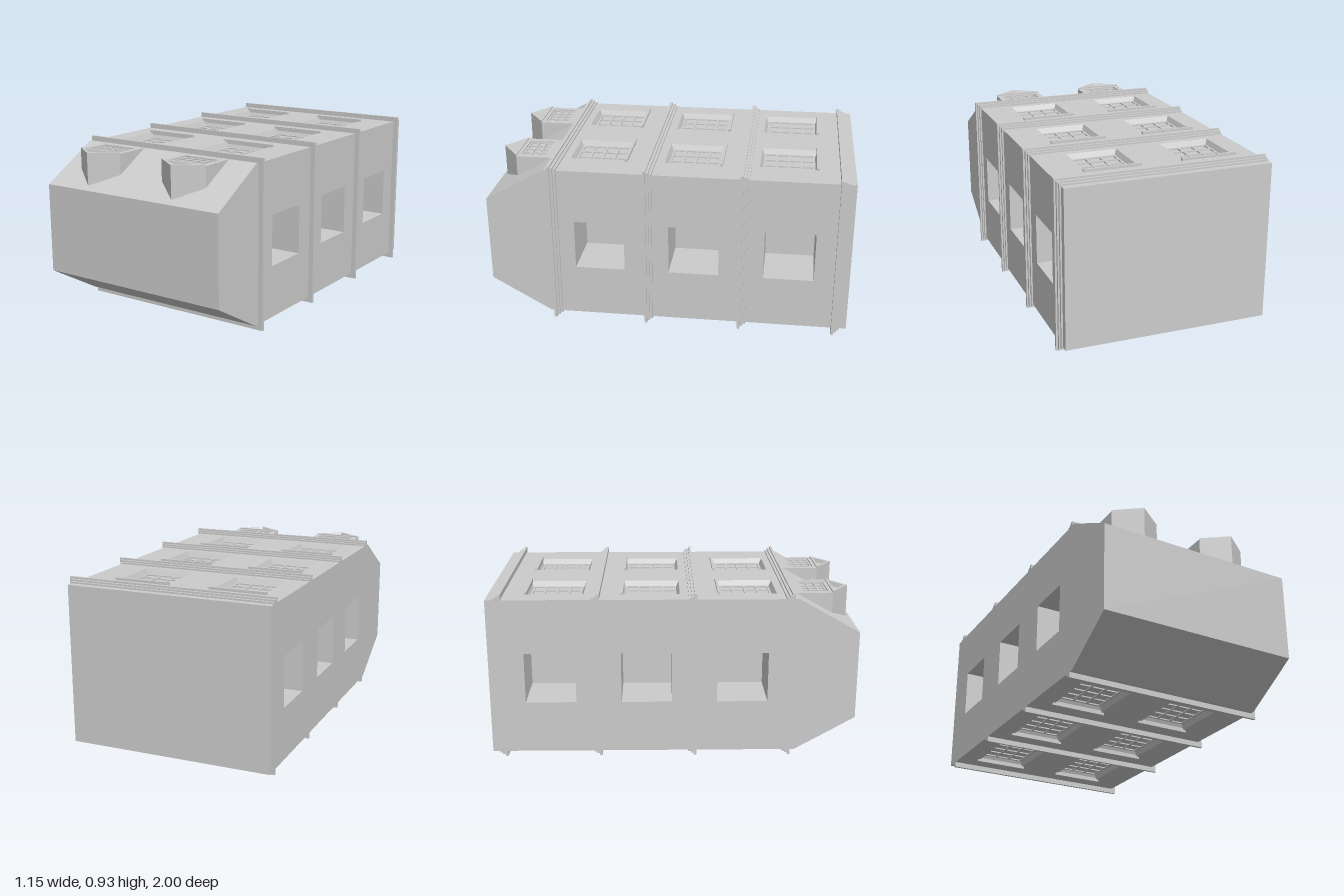
import * as THREE from 'three';

const mat = new THREE.MeshStandardMaterial({ color: 0xcccccc, flatShading: true });
const thin = new THREE.MeshStandardMaterial({ color: 0xcccccc, flatShading: true, side: THREE.DoubleSide });

// Body limits
const X0 = -0.578, X1 = 0.549, Y0 = 0.03, Y1 = 0.897, ZB = -1, ZR = 0.67;
const SKIN = 0.035, RECESS = 0.3;
const FLOORS = [-0.8, -0.28, 0.245];        // lower z edge of each window row
const WIN_W = 0.285, WIN_H = 0.315;

function add(parent, name, geo, material = mat) {
  const m = new THREE.Mesh(geo, material);
  m.name = name;
  parent.add(m);
  return m;
}

// Box from its minimum and maximum corners
function box(parent, name, x0, x1, y0, y1, z0, z1) {
  const g = new THREE.BoxGeometry(x1 - x0, y1 - y0, z1 - z0);
  g.translate((x0 + x1) / 2, (y0 + y1) / 2, (z0 + z1) / 2);
  return add(parent, name, g);
}

const poly = pts => pts.map(([a, b]) => new THREE.Vector2(a, b));
const rect = (a0, a1, b0, b1) => [[a0, b0], [a1, b0], [a1, b1], [a0, b1]];

function extrude(outline, holes, depth) {
  const s = new THREE.Shape(poly(outline));
  holes.forEach(h => s.holes.push(new THREE.Path(poly(h))));
  return new THREE.ExtrudeGeometry(s, { depth, bevelEnabled: false });
}

// Plan outline in (x, z), raised along y; reversing keeps the corner order after the flip
function slabY(outline, holes, y0, y1) {
  const flip = pts => pts.map(([x, z]) => [x, -z]).reverse();
  return extrude(flip(outline), holes.map(flip), y1 - y0).rotateX(-Math.PI / 2).translate(0, y0, 0);
}

// Side outline in (z, y), drawn out along x
function slabX(outline, holes, x0, x1) {
  const flip = pts => pts.map(([z, y]) => [-z, y]).reverse();
  return extrude(flip(outline), holes.map(flip), x1 - x0).rotateY(Math.PI / 2).translate(x0, 0, 0);
}

// Glazing bars lying on a pane at height y
function glazing(parent, x0, x1, z0, z1, y, cols, rows, t) {
  const h = y + 0.007;
  for (let i = 0; i <= cols; i++) {
    const x = x0 + t / 2 + (x1 - x0 - t) * i / cols;
    box(parent, 'glazingBar', x - t / 2, x + t / 2, y, h, z0, z1);
  }
  for (let j = 0; j <= rows; j++) {
    const z = z0 + t / 2 + (z1 - z0 - t) * j / rows;
    box(parent, 'glazingBar', x0, x1, y, h, z - t / 2, z + t / 2);
  }
}

// Window with splayed reveal, glazing bars and sill; y = 0 is the wall face
function createWindow(x, z) {
  const g = new THREE.Group();
  g.name = 'window';
  const r = Math.SQRT2;
  const splay = new THREE.LatheGeometry(poly([[r * 0.9, -SKIN], [r, 0]]), 4);
  splay.rotateY(Math.PI / 4).scale(WIN_W / 2, 1, WIN_H / 2);
  add(g, 'windowReveal', splay, thin);
  glazing(g, -WIN_W * 0.45, WIN_W * 0.45, -WIN_H * 0.45, WIN_H * 0.45, -SKIN, 3, 4, 0.012);
  box(g, 'windowSill', -0.157, 0.157, -0.01, 0.014, -WIN_H / 2 - 0.006, -WIN_H / 2 + 0.009);
  g.position.set(x, 0, z);
  return g;
}

// Wall skin with six windows; dir = -1 gives the opposite facade
function createFacade(dir) {
  const g = new THREE.Group();
  g.name = dir > 0 ? 'upperFacade' : 'lowerFacade';
  const holes = [];
  for (const x of [-0.319 * dir, 0.221 * dir]) for (const z of FLOORS) {
    holes.push(rect(x - WIN_W / 2, x + WIN_W / 2, z, z + WIN_H));
    g.add(createWindow(x, z + WIN_H / 2));
  }
  const [a, b] = dir > 0 ? [X0, X1] : [-X1, -X0];
  add(g, 'facadeWall', slabY(rect(a, b, ZB, ZR), holes, -SKIN, 0));
  g.position.y = dir > 0 ? Y1 : Y0;
  if (dir < 0) g.rotation.z = Math.PI;
  return g;
}

// Dormer with a pointed gable, a window and a sunken pediment
function createDormer(x) {
  const g = new THREE.Group();
  g.name = 'dormer';
  const w = 0.14;
  const outline = [[-w, 0.66], [w, 0.66], [w, 0.865], [0, 0.968], [-w, 0.865]];
  const gable = [[-w, 0.865], [w, 0.865], [0, 0.968]];
  const pediment = [[-0.097, 0.878], [0.097, 0.878], [0, 0.949]];
  add(g, 'dormerBlock', slabY(outline, [], 0.715, 0.885));
  add(g, 'dormerFace', slabY(outline, [rect(-0.105, 0.105, 0.705, 0.845), pediment], 0.885, 0.899));
  add(g, 'dormerGable', slabY(gable, [pediment], 0.899, 0.906));
  // Sloping sides of the pediment, a three-sided ring fitted to its triangle
  const slope = new THREE.LatheGeometry(poly([[0.75, 0.885], [1, 0.906]]), 3);
  slope.scale(0.112, 1, 0.0473).translate(0, 0, 0.9017);
  add(g, 'pedimentSlope', slope, thin);
  glazing(g, -0.105, 0.105, 0.705, 0.845, 0.885, 4, 3, 0.01);
  g.position.x = x;
  return g;
}

export function createModel() {
  const model = new THREE.Group();
  model.name = 'building';

  // Core and the two side walls with deep square openings
  const yA = Y0 + SKIN, yB = Y1 - SKIN;
  box(model, 'core', X0 + RECESS, X1 - RECESS, yA, yB, ZB, ZR);
  const openings = [-0.807, -0.284, 0.238].map(z => rect(z, z + 0.276, 0.318, 0.597));
  const wall = rect(ZB, ZR, yA, yB);
  add(model, 'rightWall', slabX(wall, openings, X0, X0 + RECESS));
  add(model, 'leftWall', slabX(wall, openings, X1 - RECESS, X1));

  // Facades
  model.add(createFacade(1), createFacade(-1));

  // Tapered roof
  add(model, 'roof', slabX([[ZR, Y0], [1, 0.22], [1, 0.71], [ZR, Y1]], [], X0, X1));

  // Stepped string courses, flush on one side
  for (const z of [0.647, 0.127, -0.395, -0.917]) {
    [0.028, 0.018, 0.009].forEach((p, i) => {
      box(model, 'cornice', X0, X1 + p, Y0 - p - 0.002 * (i === 0), Y1 + p, z - 0.015 * (i + 1), z - 0.015 * i);
    });
  }

  // Dormers
  for (const x of [-0.32, 0.238]) model.add(createDormer(x));

  return model;
}
